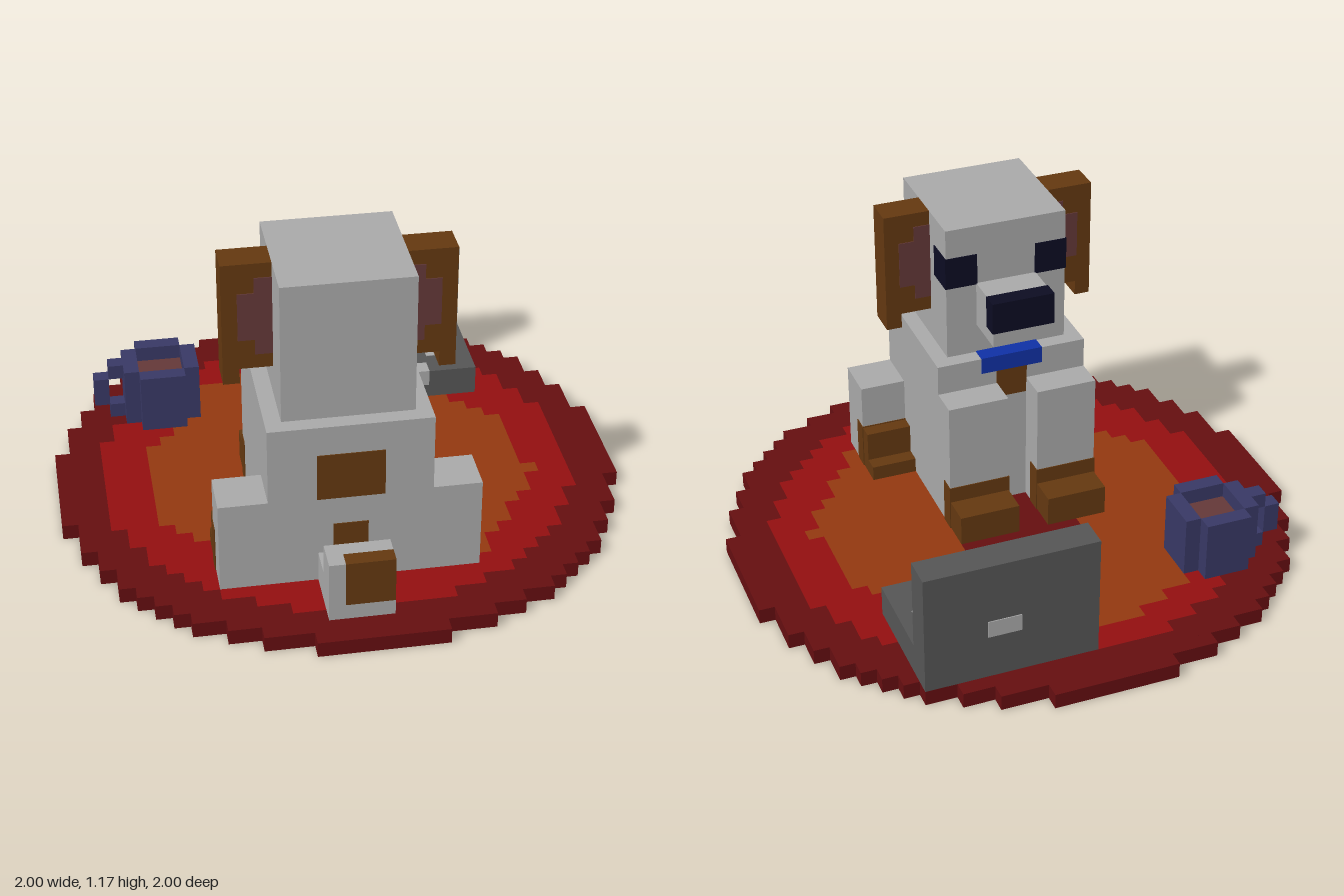
import * as THREE from 'three';
import { mergeGeometries } from 'three/addons/utils/BufferGeometryUtils.js';

const U = 1 / 18; // size of one block
const MID = -1; // the dog's mirror plane, in blocks

function material(name, color) {
  const m = new THREE.MeshStandardMaterial({ color });
  m.name = name;
  return m;
}

// Box between two corners given in blocks, optionally grown a little to sit as paint on another box
function boxGeometry([x0, x1, y0, y1, z0, z1], grow = 0) {
  const g = new THREE.BoxGeometry(x1 - x0 + 2 * grow, y1 - y0 + 2 * grow, z1 - z0 + 2 * grow);
  g.translate((x0 + x1) / 2, (y0 + y1) / 2, (z0 + z1) / 2);
  return g.scale(U, U, U);
}

function addPart(group, name, mat, boxes, grow = 0) {
  const mesh = new THREE.Mesh(mergeGeometries(boxes.map((b) => boxGeometry(b, grow))), mat);
  mesh.name = name;
  group.add(mesh);
}

const PAINT = 0.06;
const mirror = ([x0, x1, ...rest]) => [2 * MID - x1, 2 * MID - x0, ...rest];
const both = (boxes) => [...boxes, ...boxes.map(mirror)];

function subgroup(parent, name) {
  const g = new THREE.Group();
  g.name = name;
  parent.add(g);
  return g;
}

// Wavy edge of the orange field: radius every 15 degrees from +x towards +z
const WAVE = [12, 13, 11.8, 12.5, 13.3, 11.8, 12.5, 11.5, 11.5, 10.5, 12.5, 12.6,
  12, 12.5, 11.5, 12.5, 13.2, 13, 12.8, 12, 11.5, 11, 11, 12.4];

function rugColour(x, z) {
  const r = Math.hypot(x, z);
  if (r > 18) return null;
  if (r < 4.4 || r > 15.4) return 'rim';
  const a = ((Math.atan2(z, x) / (2 * Math.PI) + 1) % 1) * 24;
  const i = Math.floor(a);
  const edge = THREE.MathUtils.lerp(WAVE[i % 24], WAVE[(i + 1) % 24], a - i);
  return r < edge ? 'orange' : 'red';
}

export function createModel() {
  const root = new THREE.Group();
  root.name = 'dogOnRug';
  const grey = material('furGrey', 0xa8a8a8);
  const brown = material('furBrown', 0x633810);
  const mauve = material('mauveBrown', 0x633838);
  const navy = material('darkNavy', 0x0c0c22);
  const slate = material('laptopGrey', 0x555555);
  const mugBlue = material('mugBlue', 0x383864);
  const collarBlue = material('collarBlue', 0x1030a4);
  const rugMats = {
    rim: material('rugDarkRed', 0x640e10),
    red: material('rugRed', 0x920f10),
    orange: material('rugOrange', 0x923810),
  };

  // Rug: rows of blocks joined into runs of one colour
  const rug = subgroup(root, 'rug');
  const runs = { rim: [], red: [], orange: [] };
  for (let z = -18; z < 18; z++) {
    let start = -18;
    for (let x = -18; x < 18; x++) {
      const c = rugColour(x + 0.5, z + 0.5);
      const next = x < 17 ? rugColour(x + 1.5, z + 0.5) : null;
      if (c === next) continue;
      if (c) runs[c].push([start, x + 1, 0, 1, z, z + 1]);
      start = x + 1;
    }
  }
  addPart(rug, 'rugBorder', rugMats.rim, runs.rim);
  addPart(rug, 'rugBand', rugMats.red, runs.red);
  addPart(rug, 'rugField', rugMats.orange, runs.orange);

  // Dog: it looks towards -z
  const dog = subgroup(root, 'dog');
  addPart(dog, 'body', grey, [[-6, 4, 1, 12, 2, 12]]);
  addPart(dog, 'backPatches', brown, [[-3, 1, 7, 10, 11, 12], [-2, 0, 3, 5, 11, 12]], PAINT);
  addPart(dog, 'frontLegs', grey, both([[0, 4, 1, 10, 0, 2]]));
  addPart(dog, 'frontLegCuffs', brown, both([[0, 4, 1, 4, 0, 1]]), PAINT);
  addPart(dog, 'frontPaws', brown, both([[0, 4, 1, 3, -2, 0]]));
  addPart(dog, 'hindLegs', grey, both([[4, 7, 1, 7, 9, 12]]));
  addPart(dog, 'hindLegCuffs', brown, both([[4, 7, 1, 4, 9, 10]]), PAINT);
  addPart(dog, 'hindPaws', brown, both([[4, 7, 1, 4, 8, 9], [4, 7, 1, 2, 7, 8]]));

  // Tail rising in steps, with a brown tip and streak
  addPart(dog, 'tail', grey, [[-3, 1, 1, 3, 12, 14], [-3, 1, 1, 5, 14, 15], [-3, 1, 1, 2, 15, 16], [-3, -2, 2, 5, 15, 16]]);
  addPart(dog, 'tailTip', brown, [[-2, 1, 2, 5, 15, 16]]);
  addPart(dog, 'tailStreak', brown, [[0, 1, 1, 3, 14, 15], [0, 1, 1, 2, 13, 14]], PAINT);

  // Collar and tag
  addPart(dog, 'collar', collarBlue, [[-3, 1, 11, 12, 2, 3]], PAINT);
  addPart(dog, 'collarTag', brown, [[-2, 0, 9, 11, 2, 3]], PAINT / 2);

  // Head
  const head = subgroup(dog, 'head');
  addPart(head, 'skull', grey, [[-5, 3, 12, 21, 3, 11]]);
  addPart(head, 'snout', grey, [[-3, 1, 14, 17, 0, 3]]);
  addPart(head, 'nose', navy, [[-3, 1, 15, 17, 0, 1]], PAINT);
  addPart(head, 'eyes', navy, both([[1, 3, 17, 19, 3, 5]]), PAINT);
  addPart(head, 'ears', brown, both([[3, 5, 14, 21, 6, 8], [5, 6, 13, 21, 6, 8]]));
  addPart(head, 'innerEars', mauve, both([[3, 4, 15, 20, 6, 8], [4, 5, 16, 19, 6, 8]]), PAINT);

  // Laptop
  const laptop = subgroup(root, 'laptop');
  addPart(laptop, 'laptopBase', slate, [[0, 11, 1, 3, -13, -7]]);
  addPart(laptop, 'laptopLid', slate, [[0, 11, 1, 9, -15, -13]]);
  addPart(laptop, 'screen', navy, [[1, 10, 3, 8, -14, -13]], PAINT);
  addPart(laptop, 'screenFlower', grey, [[4, 7, 5, 6, -14, -12.95], [5, 6, 4, 7, -14, -12.95]], PAINT);
  addPart(laptop, 'screenFlowerCentre', brown, [[5, 6, 5, 6, -14, -12.9]], PAINT);
  addPart(laptop, 'lidPlate', grey, [[5, 7, 4, 5, -15, -14]], PAINT);
  const keys = [];
  for (let row = 0; row < 3; row++) {
    for (let x = row % 2 ? 1 : 2; x < 10; x += 2) keys.push([x, x + 1, 2, 3, row - 12, row - 11]);
  }
  addPart(laptop, 'keys', grey, keys, PAINT);
  addPart(laptop, 'trackpad', grey, [[4, 7, 2, 3, -9, -8], [3.4, 7.7, 2, 3, -8, -7]], PAINT);

  // Mug with handle and drink
  const mug = subgroup(root, 'mug');
  addPart(mug, 'mugWall', mugBlue, [
    [-12, -9, 1, 5, -11, -10], [-12, -9, 1, 5, -7, -6],
    [-13, -12, 1, 5, -10, -7], [-9, -8, 1, 5, -10, -7],
  ]);
  addPart(mug, 'mugHandle', mugBlue, [[-14, -13, 1, 2, -9, -8], [-14, -13, 4, 5, -9, -8], [-15, -14, 2, 4, -9, -8]]);
  addPart(mug, 'drink', mauve, [[-12, -9, 1, 4, -10, -7]]);

  return root;
}
